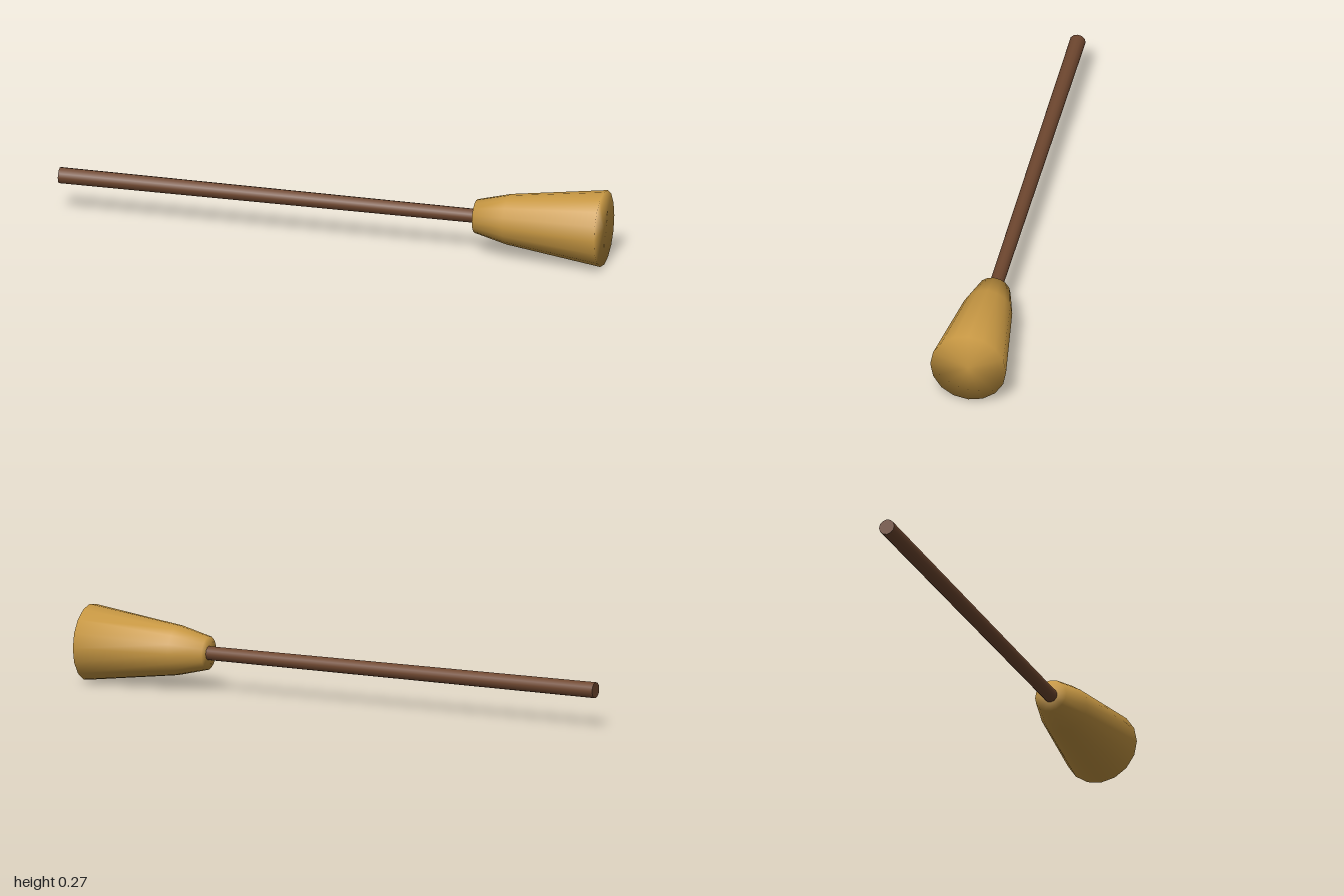
import * as THREE from 'three';

export function createModel() {
  const group = new THREE.Group();
  group.name = 'broom';
  const axisY = 0.137;

  // Adds a part modelled along y, laid down so that +y points to +x
  const addPart = (name, geometry, color, x) => {
    geometry.rotateZ(-Math.PI / 2);
    const mesh = new THREE.Mesh(geometry, new THREE.MeshStandardMaterial({ color }));
    mesh.name = name;
    mesh.position.set(x, axisY, 0);
    group.add(mesh);
  };

  // Slightly tapered stick, its thin end sunk into the head
  const start = -1, end = 0.56;
  addPart('handle', new THREE.CylinderGeometry(0.025, 0.029, end - start, 12), 0x704830, (start + end) / 2);

  // Flared, closed bristle head with softly shaded ends
  const profile = [[0, 0.53], [0.06, 0.53], [0.09, 0.65], [0.137, 1], [0, 1]]
    .map(([r, along]) => new THREE.Vector2(r, along));
  addPart('bristles', new THREE.LatheGeometry(profile, 16), 0xc89843, 0);

  return group;
}
